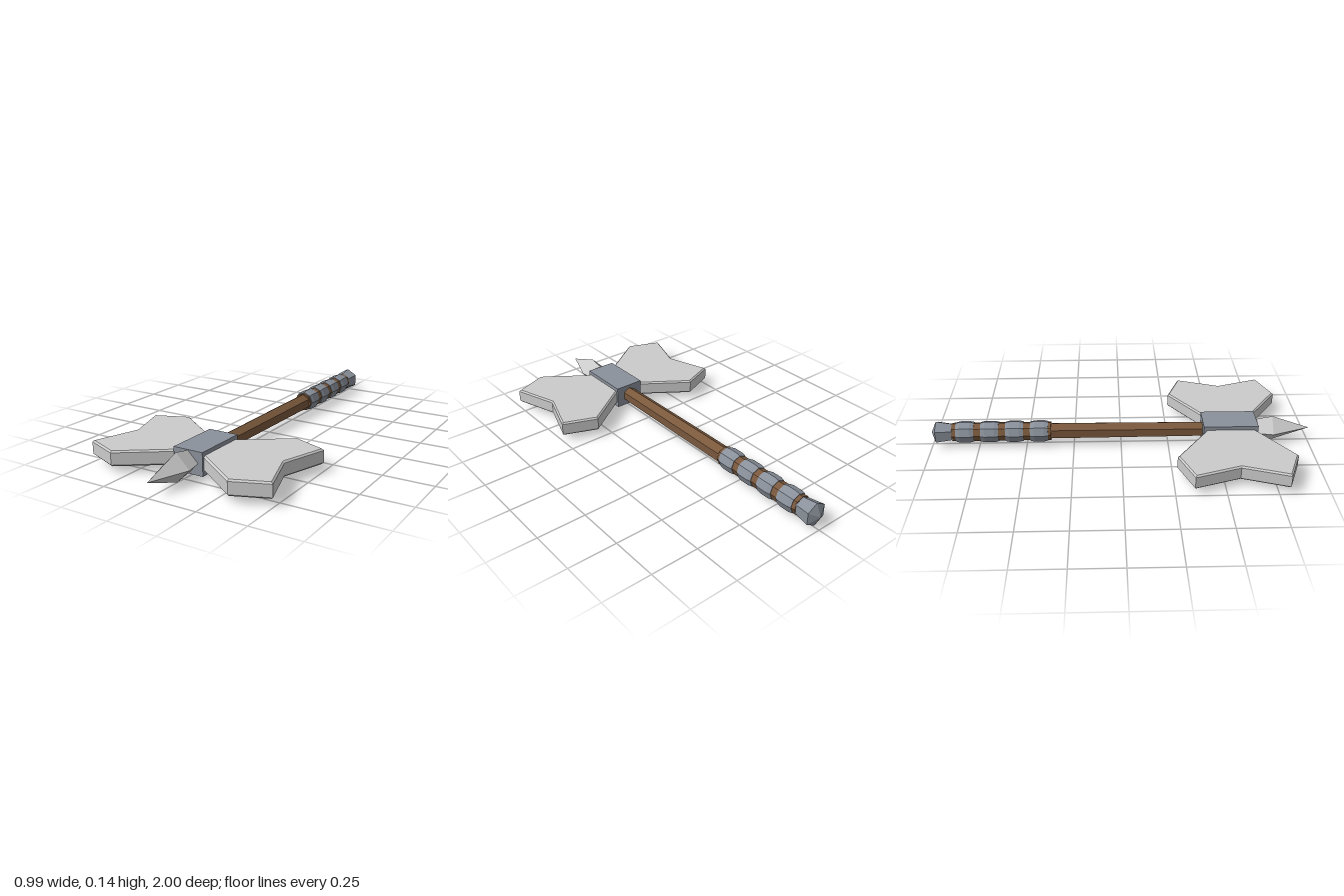
import * as THREE from 'three';

const AXIS_Y = 0.072;

const material = (color) => new THREE.MeshStandardMaterial({ color, flatShading: true });

export function createModel() {
  const group = new THREE.Group();
  const steel = material(0xcccccc);
  const iron = material(0x8a919b);
  const wood = material(0x7a583c);

  const add = (name, geometry, mat) => {
    const mesh = new THREE.Mesh(geometry, mat);
    mesh.name = name;
    mesh.position.y = AXIS_Y;
    group.add(mesh);
    return mesh;
  };

  // Faceted solid turned around the z axis; profile is [radius, z] from back to front
  const turned = (name, profile, sides, mat) => {
    const points = profile.map(([r, z]) => new THREE.Vector2(r, z));
    return add(name, new THREE.LatheGeometry(points, sides).rotateX(Math.PI / 2), mat);
  };

  // Handle
  turned('shaft', [[0, -0.9], [0.045, -0.9], [0.045, -0.2], [0.042, 0.37], [0.04, 0.45], [0, 0.45]], 6, wood);
  turned('gripWrap', [[0, -0.89], [0.05, -0.89], [0.05, -0.37], [0, -0.37]], 8, wood);

  // Barrel-shaped grip rings
  for (let i = 0; i < 4; i++) {
    const z = -0.432 - i * 0.13;
    turned('gripRing' + (i + 1), [
      [0.045, z - 0.047], [0.053, z - 0.047], [0.058, z - 0.026],
      [0.058, z + 0.026], [0.053, z + 0.047], [0.045, z + 0.047],
    ], 8, iron);
  }

  // Flared pommel
  turned('pommel', [[0, -1], [0.063, -0.972], [0.048, -0.885], [0, -0.885]], 6, iron);

  // Head block and front spike
  add('headBlock', new THREE.BoxGeometry(0.16, 0.116, 0.285), iron).position.z = 0.572;
  turned('spike', [[0, 0.7], [0.053, 0.7], [0.072, 0.8], [0, 1]], 4, steel);

  // Twin blades with bevelled rims
  const outline = [
    [0.06, 0.455], [0.32, 0.272], [0.497, 0.342], [0.42, 0.572],
    [0.497, 0.802], [0.32, 0.872], [0.06, 0.689],
  ].map(([x, z]) => new THREE.Vector2(x, z));
  const bevel = 0.008;
  const thickness = 0.076;
  const blade = new THREE.ExtrudeGeometry(new THREE.Shape(outline), {
    depth: thickness - 2 * bevel,
    bevelThickness: bevel,
    bevelSize: bevel,
    bevelOffset: -bevel,
    bevelSegments: 1,
  });
  blade.translate(0, 0, bevel - thickness / 2).rotateX(Math.PI / 2);
  add('leftBlade', blade, steel);
  add('rightBlade', blade, steel).rotation.z = Math.PI;

  return group;
}
